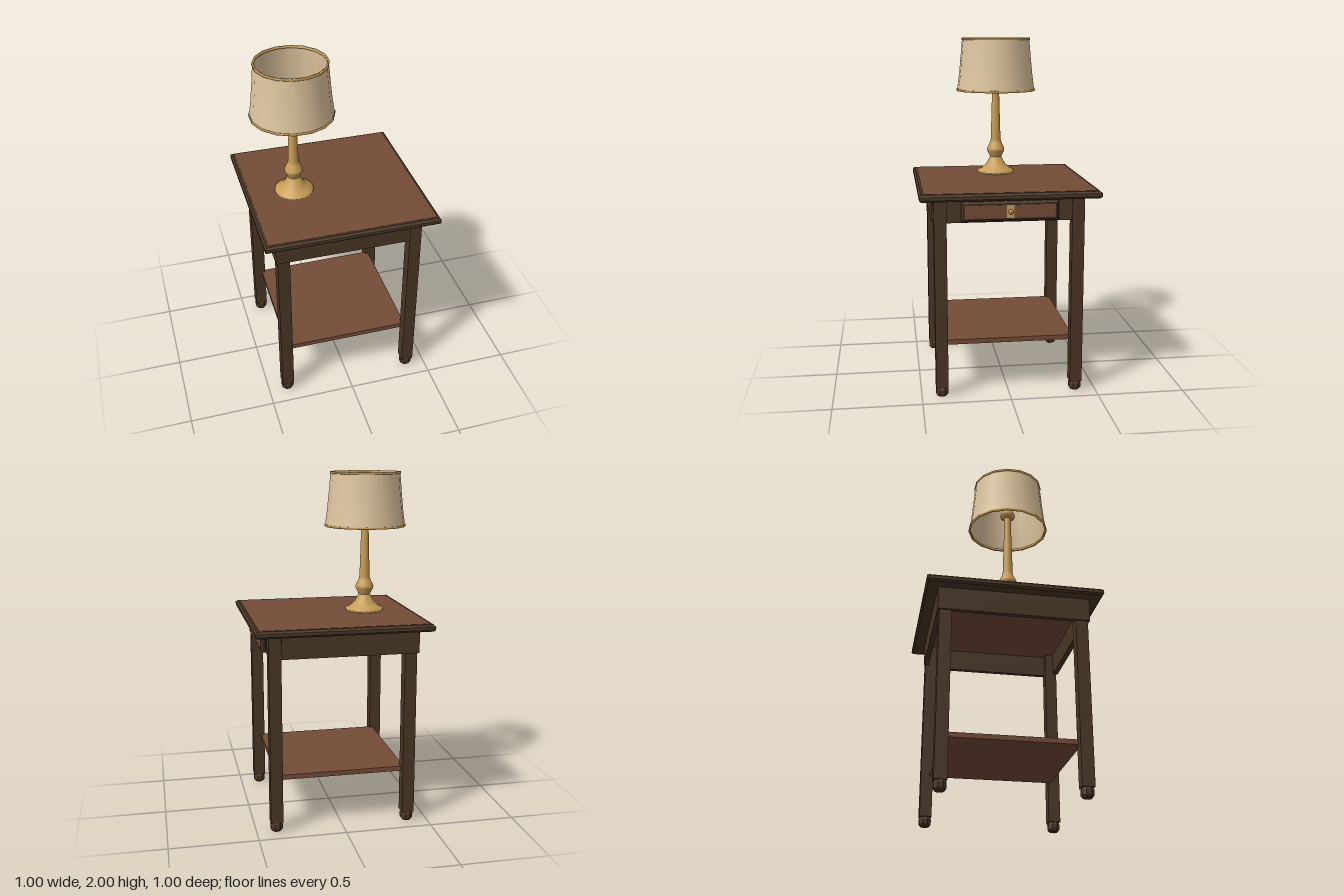
import * as THREE from 'three';

const material = (name, color, side = THREE.FrontSide) => {
  const m = new THREE.MeshStandardMaterial({ color, side });
  m.name = name;
  return m;
};

export function createModel() {
  const darkWood = material('dark wood', 0x4a3725);
  const brownWood = material('brown wood', 0x744c37);
  const brass = material('brass', 0xc89d56);
  const fabric = material('shade fabric', 0xdfc6a0, THREE.DoubleSide);

  const table = new THREE.Group();
  table.name = 'sideTable';
  const lamp = new THREE.Group();
  lamp.name = 'tableLamp';
  lamp.position.set(-0.217, 0, 0);
  const model = new THREE.Group();
  model.add(table, lamp);

  const add = (parent, name, geometry, mat) => {
    const mesh = new THREE.Mesh(geometry, mat);
    mesh.name = name;
    parent.add(mesh);
    return mesh;
  };
  // Box given by its minimum and maximum corners
  const box = (name, mat, a, b) => {
    const mesh = add(table, name, new THREE.BoxGeometry(b[0] - a[0], b[1] - a[1], b[2] - a[2]), mat);
    mesh.position.set((a[0] + b[0]) / 2, (a[1] + b[1]) / 2, (a[2] + b[2]) / 2);
    return mesh;
  };
  // Rectangular slab with chamfered edges, centred on x and y, rising along z
  const slab = (w, h, depth, bevel) => {
    const x = w / 2 - bevel, y = h / 2 - bevel;
    const shape = new THREE.Shape([[-x, -y], [x, -y], [x, y], [-x, y]].map(p => new THREE.Vector2(...p)));
    const g = new THREE.ExtrudeGeometry(shape, {
      depth: depth - 2 * bevel, bevelSize: bevel, bevelThickness: bevel, bevelSegments: 1,
    });
    return g.translate(0, 0, bevel);
  };
  const lathe = (points, sides, phase = 0) =>
    new THREE.LatheGeometry(points.map(p => new THREE.Vector2(...p)), sides, phase);

  // Table top: chamfered dark slab with brown inlay above and below
  const top = add(table, 'tableTop', slab(1, 1, 0.04, 0.011), darkWood);
  top.rotation.x = -Math.PI / 2;
  top.position.y = 1.145;
  box('topInlay', brownWood, [-0.477, 1.181, -0.477], [0.477, 1.187, 0.477]);
  box('topUnderside', brownWood, [-0.41, 1.14, -0.41], [0.41, 1.146, 0.41]);

  // Legs and turned feet
  const footProfile = [[0, 0], [0.026, 0], [0.037, 0.015], [0.037, 0.042], [0.028, 0.058], [0, 0.058]];
  const footGeometry = lathe(footProfile, 8, Math.PI / 8).toNonIndexed();
  footGeometry.computeVertexNormals();
  for (const sx of [-1, 1]) for (const sz of [-1, 1]) {
    const leg = add(table, 'leg', new THREE.BoxGeometry(0.07, 1.095, 0.07), darkWood);
    leg.position.set(sx * 0.385, 0.6025, sz * 0.385);
    const foot = add(table, 'foot', footGeometry, darkWood);
    foot.position.set(sx * 0.385, 0, sz * 0.385);
  }

  // Aprons
  for (const s of [-1, 1]) {
    const z = [s * 0.4, s * 0.43].sort((a, b) => a - b);
    box('sideApron', darkWood, [-0.43, 1.012, z[0]], [0.35, 1.147, z[1]]);
  }
  box('leftApron', darkWood, [-0.43, 1.012, -0.43], [-0.4, 1.147, 0.43]);
  box('drawerApron', darkWood, [0.385, 1.012, -0.352], [0.412, 1.147, 0.352]);

  // Drawer front on the +x side
  const drawer = add(table, 'drawerFront', slab(0.54, 0.11, 0.035, 0.012), darkWood);
  drawer.rotation.y = Math.PI / 2;
  drawer.position.set(0.408, 1.076, 0);
  box('drawerPanel', brownWood, [0.438, 1.041, -0.25], [0.445, 1.112, 0.25]);
  box('lockPlate', brass, [0.442, 1.041, -0.021], [0.449, 1.112, 0.021]);
  const knob = add(table, 'drawerKnob',
    lathe([[0, 0], [0.006, 0], [0.006, 0.008], [0.014, 0.012], [0.014, 0.018], [0, 0.023]], 10), brass);
  knob.rotation.z = -Math.PI / 2;
  knob.position.set(0.446, 1.077, 0);

  // Lower shelf
  box('shelf', brownWood, [-0.37, 0.296, -0.37], [0.37, 0.324, 0.37]);

  // Lamp base, knop, column and socket, as stacked turned sections for crisp seams
  const sections = {
    lampFoot: [[0, 1.186], [0.112, 1.186], [0.112, 1.203], [0.088, 1.213], [0.058, 1.24], [0.034, 1.285]],
    lampKnop: [[0.034, 1.285], [0.052, 1.322], [0.053, 1.335], [0.034, 1.375]],
    lampColumn: [[0.034, 1.375], [0.03, 1.39], [0.021, 1.7], [0.021, 1.775]],
    lampSocket: [[0.021, 1.775], [0.042, 1.785], [0.042, 1.805], [0.035, 1.82]],
    lampCap: [[0.035, 1.82], [0, 1.82]],
  };
  for (const [name, profile] of Object.entries(sections)) add(lamp, name, lathe(profile, 24), brass);

  // Open tapered shade with brass trim rings
  const half = Math.PI / 16;
  add(lamp, 'shade', lathe([[0.234, 1.692], [0.222, 1.78], [0.212, 1.88], [0.202, 1.994]], 16, half), fabric);
  const ring = (name, r, y) => add(lamp, name,
    lathe([[r - 0.006, y], [r + 0.004, y], [r + 0.004, y + 0.012], [r - 0.006, y + 0.012], [r - 0.006, y]], 16, half), brass);
  ring('lowerTrim', 0.234, 1.686);
  ring('upperTrim', 0.202, 1.988);

  return model;
}
